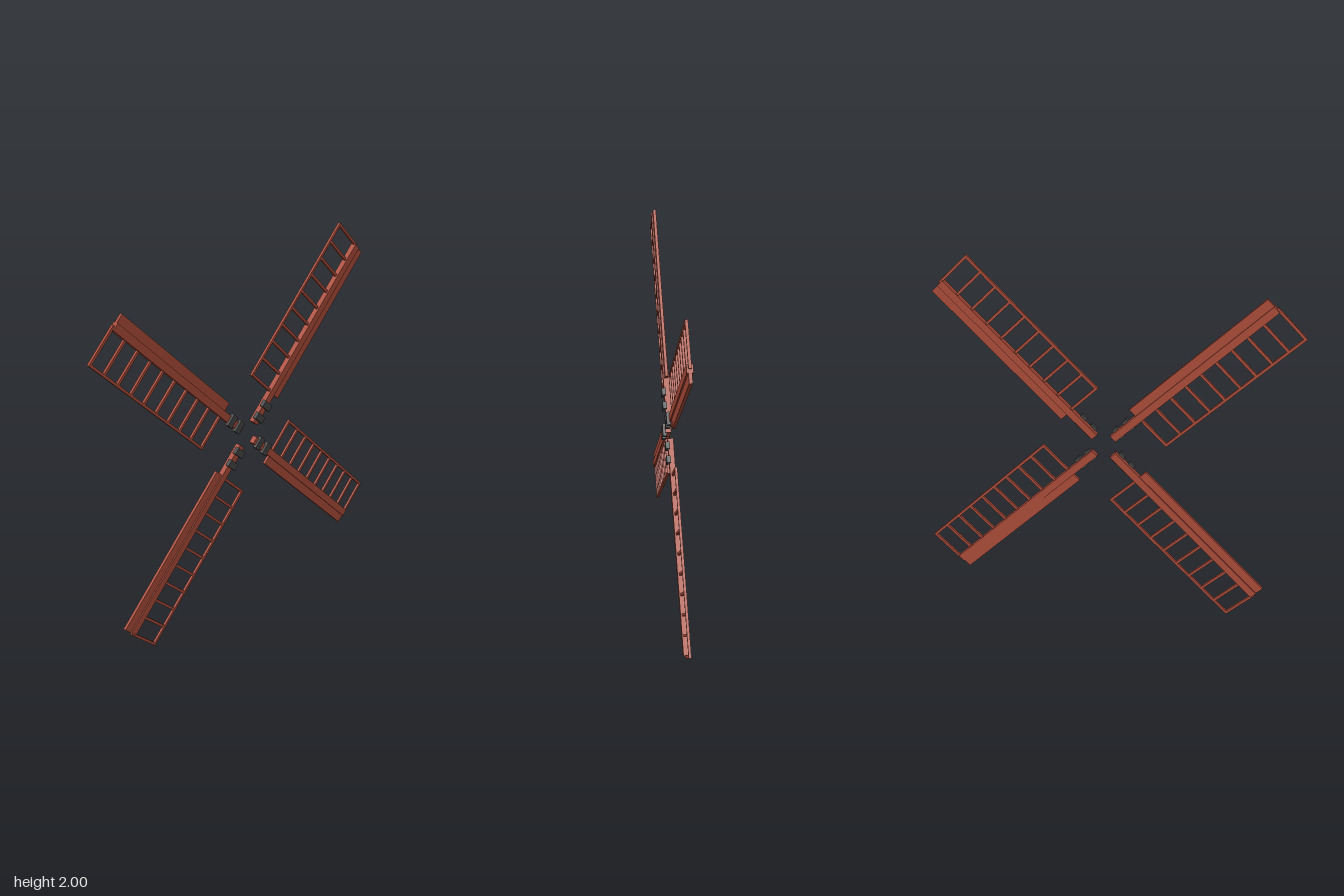
import * as THREE from 'three';

const wood = new THREE.MeshStandardMaterial({ color: 0xa84a38 });
const iron = new THREE.MeshStandardMaterial({ color: 0x444444 });

// Box given by its extents along the blade (u), across it (v) and in depth (z)
function block(parent, name, material, [u0, u1], [v0, v1], [z0, z1]) {
  const mesh = new THREE.Mesh(new THREE.BoxGeometry(u1 - u0, v1 - v0, z1 - z0), material);
  mesh.position.set((u0 + u1) / 2, (v0 + v1) / 2, (z0 + z1) / 2);
  mesh.name = name;
  parent.add(mesh);
}

function createBlade() {
  const blade = new THREE.Group();
  const inner = 0.256, outer = 1.202, edge = 0.212, bar = 0.014;
  const thin = [-0.014, 0];

  // Main spar and the wind board along its leading side
  block(blade, 'spar', wood, [0.07, 1.192], [-0.02, 0.02], [-0.022, 0.008]);
  block(blade, 'windBoard', wood, [inner, 1.192], [-0.067, -0.018], [-0.015, 0.001]);

  // Lattice: long outer rail and evenly spaced rungs
  block(blade, 'latticeRail', wood, [inner, outer], [edge - bar, edge], thin);
  const cells = 9;
  for (let i = 0; i <= cells; i++) {
    const u = inner + (outer - inner - bar) * i / cells;
    block(blade, 'latticeRung', wood, [u, u + bar], [-0.003, edge - bar], thin);
  }

  // Two iron clamps: front strap with a lug on each side of the spar
  for (const u of [0.108, 0.182]) {
    const span = [u - 0.019, u + 0.019];
    block(blade, 'clampStrap', iron, span, [-0.034, 0.034], [0.008, 0.022]);
    for (const v of [-0.034, 0.02]) {
      block(blade, 'clampLug', iron, span, [v, v + 0.014], [0, 0.008]);
    }
  }
  return blade;
}

export function createModel() {
  const model = new THREE.Group();
  model.name = 'windmillSails';
  // Four identical blades around the hub centre
  for (let i = 0; i < 4; i++) {
    const blade = createBlade();
    blade.name = 'blade' + (i + 1);
    blade.position.y = 1;
    blade.rotation.z = Math.PI / 4 + i * Math.PI / 2;
    model.add(blade);
  }
  return model;
}
